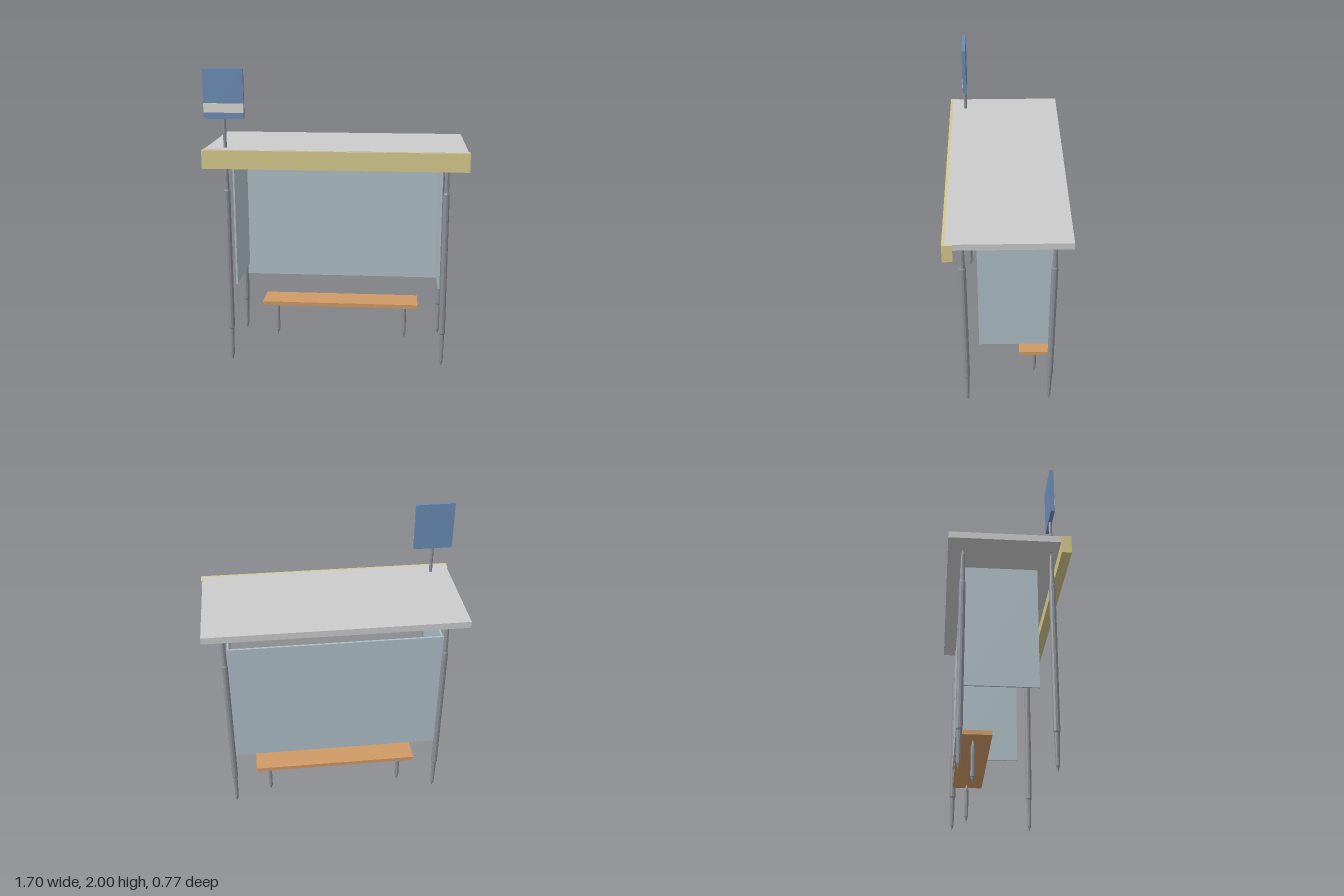
import * as THREE from 'three';

export function createModel() {
  const model = new THREE.Group();
  const mat = (color, flatShading = false) => new THREE.MeshStandardMaterial({ color, flatShading });
  const roofMat = mat(0xcccccc), fasciaMat = mat(0xd6c88a), glassMat = mat(0xaebfc7);
  const woodMat = mat(0xd09a66), blueMat = mat(0x6a8bb5), bandMat = mat(0xd8d6cf);
  const metalMat = mat(0x8c9096, true);

  const add = (name, geometry, material, x, y, z) => {
    const mesh = new THREE.Mesh(geometry, material);
    mesh.name = name;
    mesh.position.set(x, y, z);
    model.add(mesh);
  };

  // Box given by its minimum and maximum on each axis
  const box = (name, material, x0, x1, y0, y1, z0, z1) =>
    add(name, new THREE.BoxGeometry(x1 - x0, y1 - y0, z1 - z0), material,
      (x0 + x1) / 2, (y0 + y1) / 2, (z0 + z1) / 2);

  // Slim rod: straight shaft, tapered towards both pointed ends
  const rod = (name, r, y0, y1, taper, x, z) => {
    const tip = r * 2;
    const profile = [
      [0, y0], [r * 0.6, y0 + tip], [r * 0.8, y0 + taper], [r, y0 + taper * 1.04],
      [r, y1 - taper * 1.04], [r * 0.8, y1 - taper], [r * 0.6, y1 - tip], [0, y1],
    ].map(([px, py]) => new THREE.Vector2(px, py));
    add(name, new THREE.LatheGeometry(profile, 10), metalMat, x, 0, z);
  };

  // Roof and front fascia
  box('roof', roofMat, -0.843, 0.843, 1.45, 1.494, -0.383, 0.365);
  box('fascia', fasciaMat, -0.852, 0.852, 1.372, 1.492, 0.32, 0.383);

  // Posts, mirrored, and side panels
  for (const side of [-1, 1]) {
    rod('frontPost', 0.021, 0, 1.45, 0.235, side * 0.717, 0.273);
    rod('backPost', 0.021, 0, 1.45, 0.235, side * 0.717, -0.287);
    box('sidePanel', glassMat, side * 0.69 - 0.006, side * 0.69 + 0.006, 0.525, 1.33, -0.28, 0.185);
    rod('benchLeg', 0.014, 0, 0.272, 0.04, side * 0.467, -0.195);
  }
  box('backPanel', glassMat, -0.7, 0.7, 0.445, 1.33, -0.293, -0.279);

  // Bench
  box('benchSeat', woodMat, -0.56, 0.56, 0.27, 0.298, -0.29, -0.085);

  // Sign above the right front post
  add('signPole', new THREE.CylinderGeometry(0.011, 0.011, 0.24, 10), metalMat, -0.719, 1.57, 0.273);
  box('signBoard', blueMat, -0.849, -0.589, 1.68, 2, 0.26, 0.285);
  box('signBand', bandMat, -0.849, -0.589, 1.72, 1.78, 0.283, 0.287);

  return model;
}
